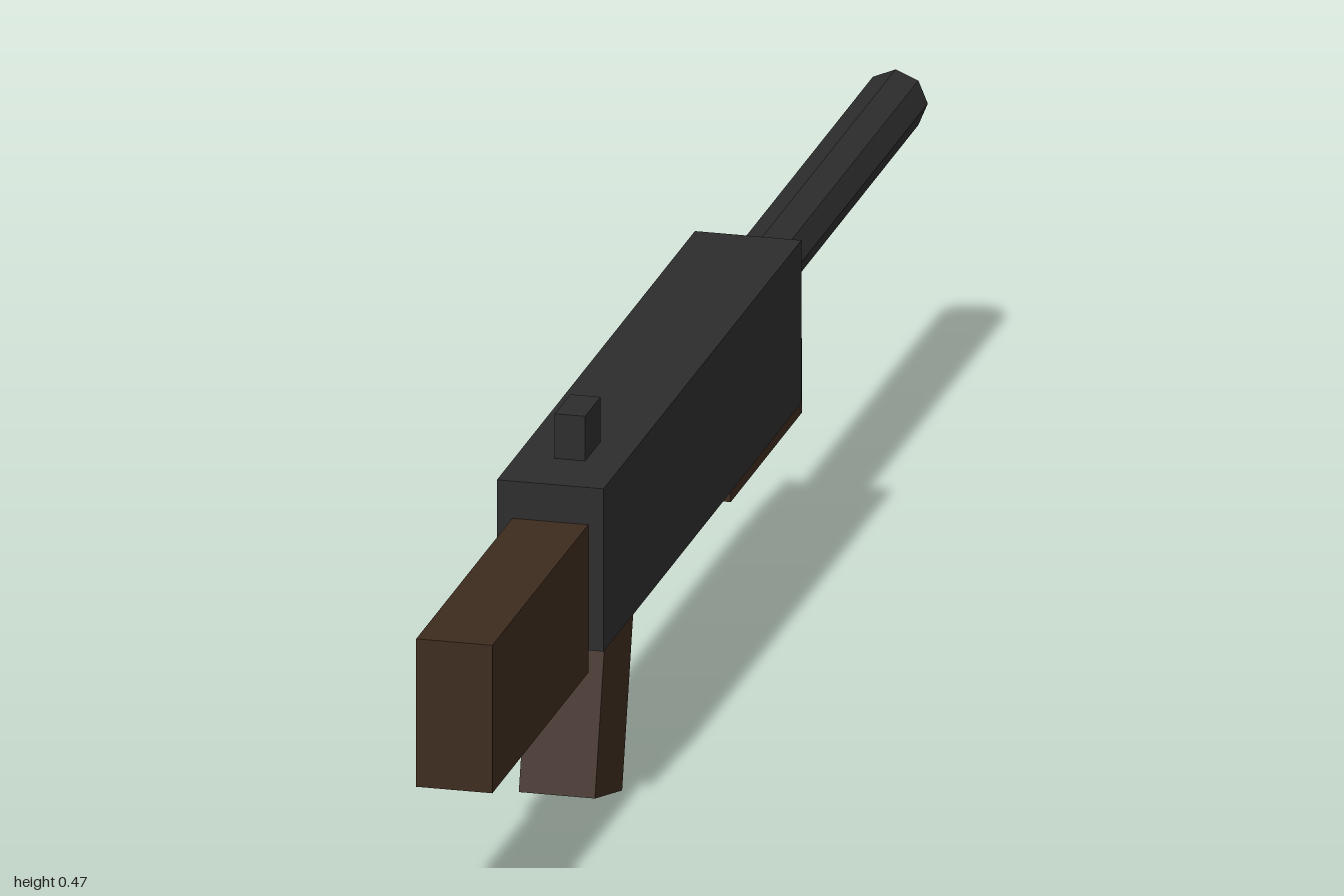
import * as THREE from 'three';

export function createModel() {
  const group = new THREE.Group();
  const metal = new THREE.MeshStandardMaterial({ name: 'dark metal', color: 0x2d2d2d, flatShading: true });
  const wood = new THREE.MeshStandardMaterial({ name: 'dark wood', color: 0x3d2b1f, flatShading: true });

  const add = (name, geometry, material, y, z, tilt = 0) => {
    const mesh = new THREE.Mesh(geometry, material);
    mesh.name = name;
    mesh.position.set(0, y, z);
    mesh.rotation.x = tilt;
    group.add(mesh);
  };
  // Box given by its width and its y and z extents
  const addBox = (name, material, width, y0, y1, z0, z1) =>
    add(name, new THREE.BoxGeometry(width, y1 - y0, z1 - z0), material, (y0 + y1) / 2, (z0 + z1) / 2);

  // Body and sight
  addBox('receiver', metal, 0.126, 0.221, 0.418, -0.332, 0.565);
  addBox('sight', metal, 0.036, 0.418, 0.472, 0.406, 0.476);

  // Octagonal barrel pointing to the back
  add('barrel', new THREE.CylinderGeometry(0.038, 0.038, 0.67, 8), metal, 0.357, -0.665, Math.PI / 2);

  // Wooden furniture
  addBox('stock', wood, 0.09, 0.194, 0.373, 0.565, 1);
  addBox('handguard', wood, 0.09, 0.184, 0.274, -0.404, -0.08);
  add('grip', new THREE.BoxGeometry(0.09, 0.25, 0.127), wood, 0.137, 0.4426, -0.25);

  return group;
}
